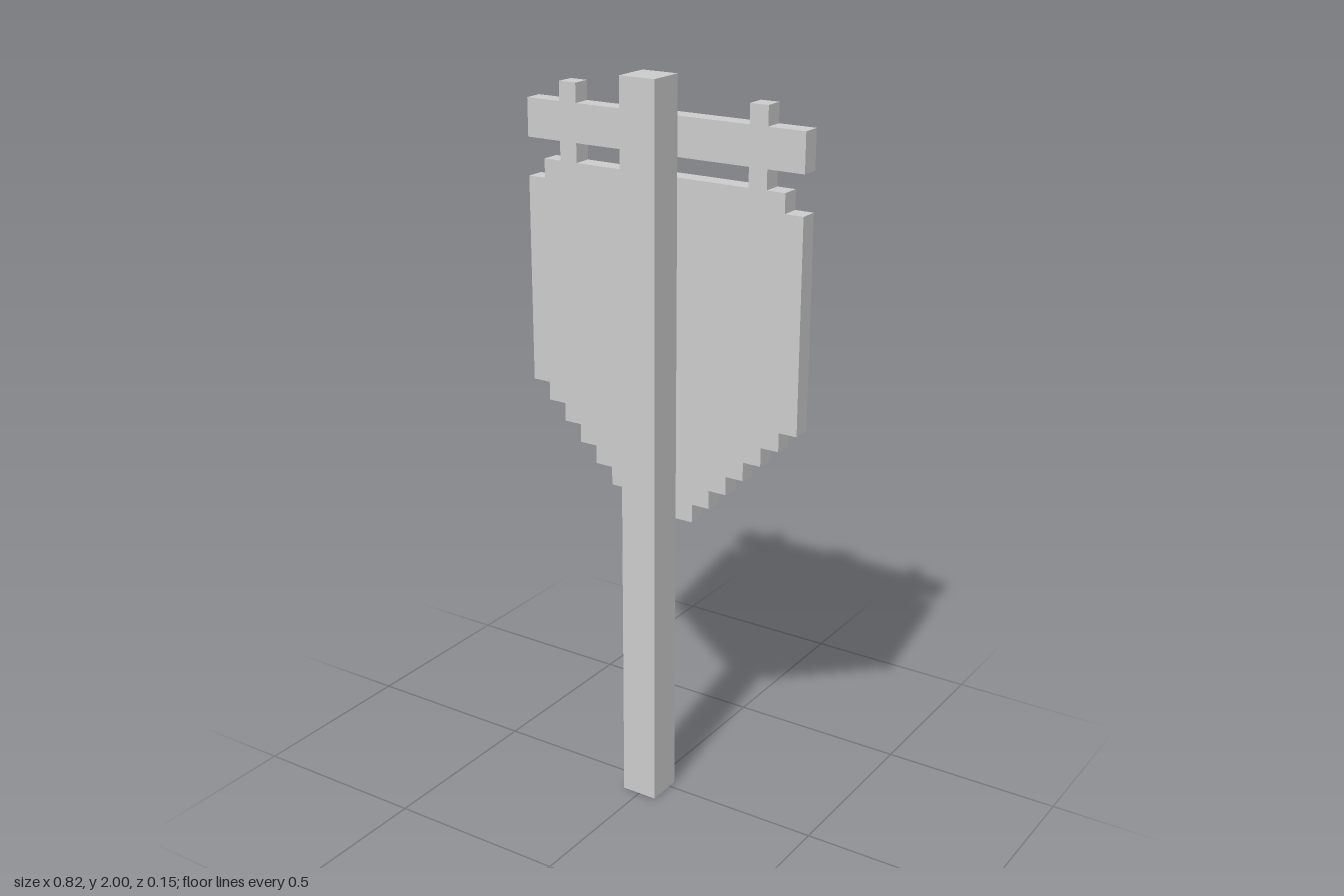
import * as THREE from 'three';

// Everything sits on a square grid: 39 cells make the full height.
const U = 2 / 39;
const BOARD_Z = -1; // centre of the one-cell-thick sign, in cells

export function createModel() {
  const group = new THREE.Group();
  const material = new THREE.MeshStandardMaterial({ color: 0xcccccc, flatShading: true });

  function add(name, geometry, x, y, z) {
    const mesh = new THREE.Mesh(geometry, material);
    mesh.name = name;
    mesh.position.set(x * U, y * U, z * U);
    group.add(mesh);
  }

  // Box given in cells: width, height, depth, centre x, bottom y, centre z
  function box(name, w, h, d, x, y, z) {
    add(name, new THREE.BoxGeometry(w * U, h * U, d * U), x, y + h / 2, z);
  }

  // Square post standing in front of the sign
  box('post', 2, 39, 2, 0, 0, 0.5);

  // Shield board: right-hand outline from the bottom up, then mirrored
  const side = [];
  for (let i = 0; i < 6; i++) side.push([2 + i, 16 + i], [2 + i, 17 + i]); // stepped point
  side.push([8, 22], [8, 33], [7, 33], [7, 34]); // straight side and notched top corner
  const mirrored = side.map(([x, y]) => [-x, y]).reverse();
  const outline = [...side, ...mirrored].map(([x, y]) => new THREE.Vector2(x * U, y * U));
  const shield = new THREE.ExtrudeGeometry(new THREE.Shape(outline), { depth: U, bevelEnabled: false });
  add('shieldBoard', shield, 0, 0, BOARD_Z - 0.5);

  // Hanging bar
  box('crossbar', 16, 2, 1, 0, 35, BOARD_Z);

  // Straps: a link below the bar and a stub above it on each side
  for (const [label, s] of [['left', 1], ['right', -1]]) {
    box(label + 'StrapLink', 1, 1, 1, s * 5.5, 34, BOARD_Z);
    box(label + 'StrapTop', 1, 1, 1, s * 5.5, 37, BOARD_Z);
  }

  return group;
}
